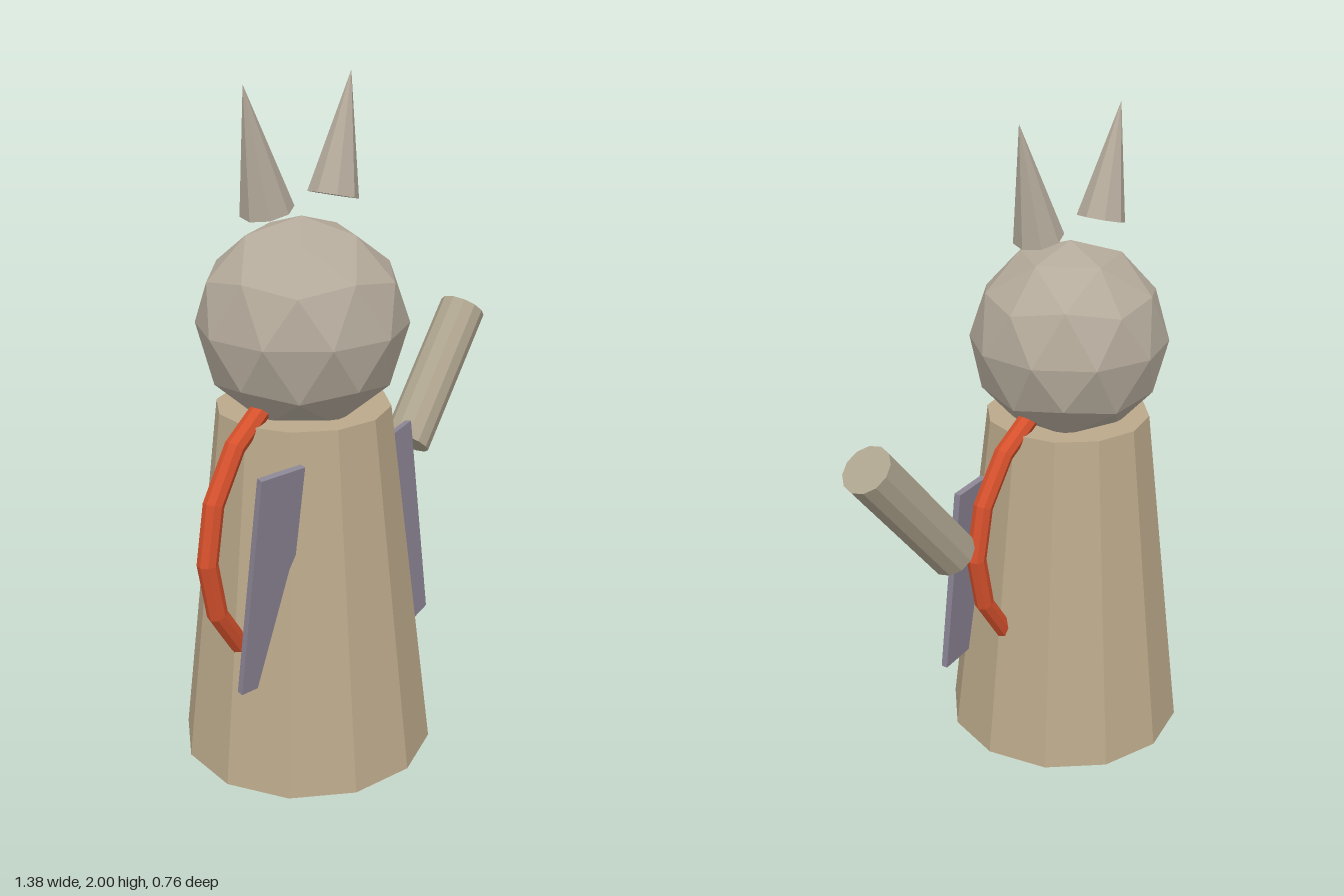
import * as THREE from 'three';

const CX = -0.23; // centre line of the figure

const mat = (color) => new THREE.MeshStandardMaterial({ color, flatShading: true });
const tan = mat(0xbaa88a), stone = mat(0xb4aa9b), sand = mat(0xaea48f);
const slate = mat(0x8c8695), red = mat(0xd4502c);

export function createModel() {
  const model = new THREE.Group();
  const add = (name, geometry, material, x, y, z = 0) => {
    const mesh = new THREE.Mesh(geometry, material);
    mesh.name = name;
    mesh.position.set(x, y, z);
    model.add(mesh);
    return mesh;
  };

  // Tapered twelve-sided body
  add('body', new THREE.CylinderGeometry(0.255, 0.38, 1.08, 12), tan, CX, 0.54);

  // Faceted head, turned so a corner of the icosahedron points straight up
  const head = new THREE.IcosahedronGeometry(0.305, 1);
  head.rotateZ(-Math.atan(2 / (1 + Math.sqrt(5))));
  add('head', head, stone, CX, 1.32);

  // Pair of horns floating above the head, leaning outwards
  for (const side of [-1, 1]) {
    const horn = add(side > 0 ? 'leftHorn' : 'rightHorn',
      new THREE.ConeGeometry(0.075, 0.35, 8), stone, CX + side * 0.19, 1.83);
    horn.rotation.z = -side * 0.25;
  }

  // Ring passing through the body and head
  add('ring', new THREE.TorusGeometry(0.43, 0.03, 8, 16), red, CX, 0.73);

  // Detached raised arm
  const arm = add('arm', new THREE.CylinderGeometry(0.075, 0.075, 0.5, 12), sand, 0.467, 0.987);
  arm.rotation.z = -0.7;

  // Thin side panels: yaw first, then lean
  const panel = (name, height, x, y, lean, yaw) => {
    const mesh = add(name, new THREE.BoxGeometry(0.15, height, 0.02), slate, x, y, 0.125);
    mesh.rotation.set(lean, yaw, 0, 'YXZ');
  };
  panel('leftPanel', 0.63, 0.125, 0.605, -0.1, 0.18);
  panel('rightPanel', 0.695, -0.543, 0.665, 0.16, -0.19);

  return model;
}
